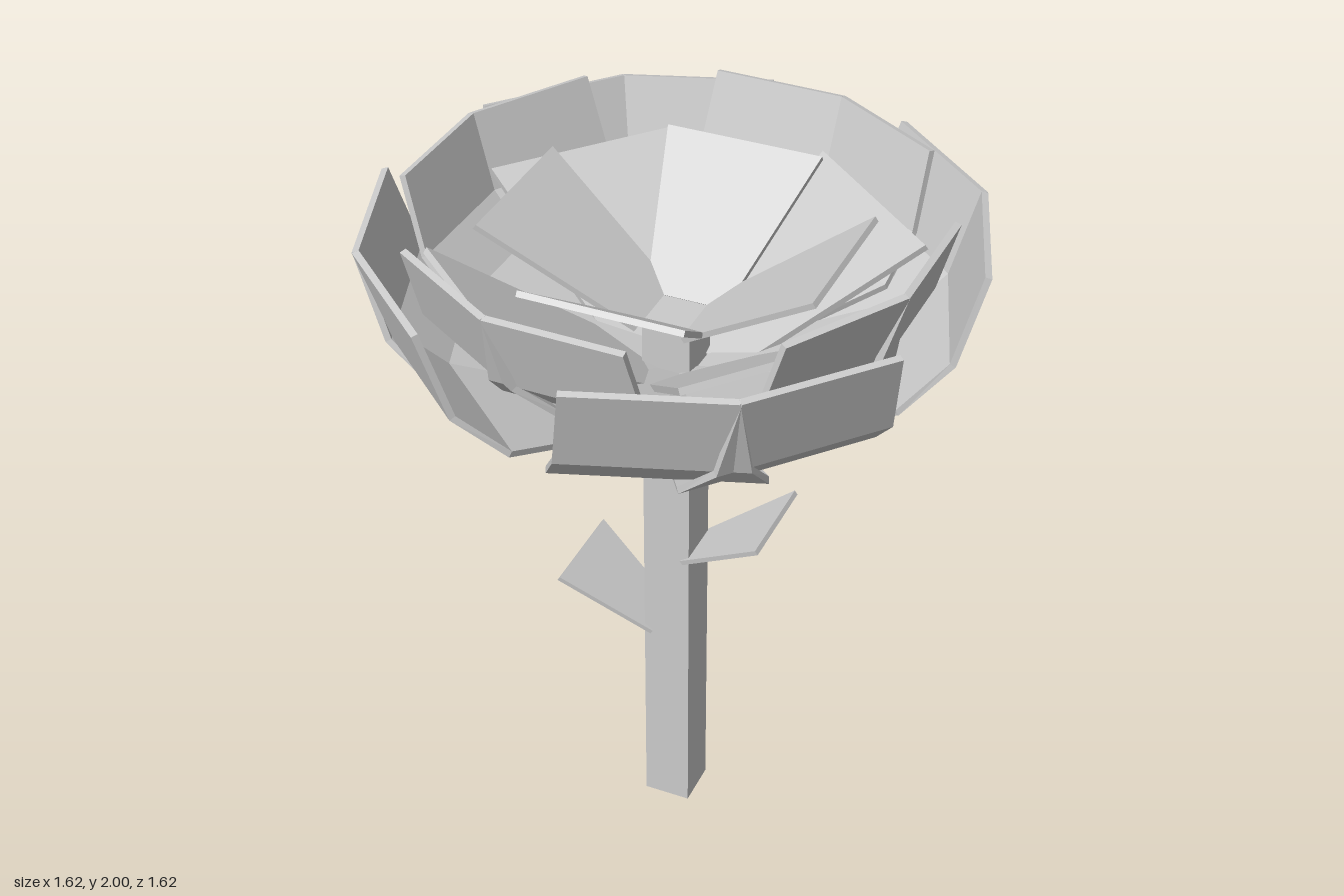
import * as THREE from 'three';

const material = new THREE.MeshStandardMaterial({ color: 0xcccccc, flatShading: true });

// Folded plate growing along +x; each section is [radius, height, halfWidth]
function plateGeometry(sections, thickness) {
  const rings = sections.map(([r, y, w], i) => {
    const a = sections[Math.max(i - 1, 0)];
    const b = sections[Math.min(i + 1, sections.length - 1)];
    const n = new THREE.Vector2(a[1] - b[1], b[0] - a[0]).setLength(thickness / 2);
    return [
      [r - n.x, y - n.y, -w], [r - n.x, y - n.y, w],
      [r + n.x, y + n.y, w], [r + n.x, y + n.y, -w],
    ];
  });
  const positions = [];
  const quad = (a, b, c, d) => positions.push(...a, ...b, ...c, ...a, ...c, ...d);
  for (let i = 0; i < rings.length - 1; i++) {
    for (let k = 0; k < 4; k++) {
      const m = (k + 1) % 4;
      quad(rings[i][k], rings[i + 1][k], rings[i + 1][m], rings[i][m]);
    }
  }
  quad(...rings[0]);
  quad(...[...rings[rings.length - 1]].reverse());
  const geometry = new THREE.BufferGeometry();
  geometry.setAttribute('position', new THREE.Float32BufferAttribute(positions, 3));
  geometry.computeVertexNormals();
  return geometry;
}

// Same plate repeated at the given angles (degrees) around the stem
function addRing(parent, name, geometry, angles) {
  const ring = new THREE.Group();
  ring.name = name + 's';
  for (const angle of angles) {
    const mesh = new THREE.Mesh(geometry, material);
    mesh.name = name;
    mesh.rotation.y = THREE.MathUtils.degToRad(angle);
    ring.add(mesh);
  }
  parent.add(ring);
}

const quarters = (...starts) => starts.flatMap((s) => [0, 90, 180, 270].map((q) => s + q));

export function createModel() {
  const group = new THREE.Group();
  group.name = 'flower';

  // Square stem reaching up to the heart of the flower
  const stem = new THREE.Mesh(new THREE.BoxGeometry(0.134, 1.66, 0.134), material);
  stem.name = 'stem';
  stem.position.y = 0.83;
  group.add(stem);

  // Two leaves on opposite sides
  const leaf = (y) => plateGeometry([[0.045, y, 0.07], [0.295, y + 0.17, 0.145]], 0.014);
  addRing(group, 'upperLeaf', leaf(0.895), [0]);
  addRing(group, 'lowerLeaf', leaf(0.615), [180]);

  // Flat petals in two tiers
  addRing(group, 'innerPetal', plateGeometry([[0.065, 1.655, 0.11], [0.455, 1.925, 0.22]], 0.016), quarters(0));
  addRing(group, 'middlePetal', plateGeometry([[0.09, 1.52, 0.13], [0.574, 1.85, 0.27]], 0.018), quarters(49.4));

  // Cupped petals, the smaller tier sitting inside the larger one
  const cupped = (s, base) => plateGeometry(
    [[0.085, 0.01, 0.1], [0.575, 0.19, 0.27], [0.705, 0.315, 0.235], [0.775, 0.555, 0.208]]
      .map(([r, y, w]) => [r * s, base + y * s, w * s]), 0.018);
  addRing(group, 'cuppedPetal', cupped(0.875, 1.508), quarters(-1, 59));
  addRing(group, 'outerPetal', cupped(1, 1.375), quarters(19, 49));

  return group;
}
